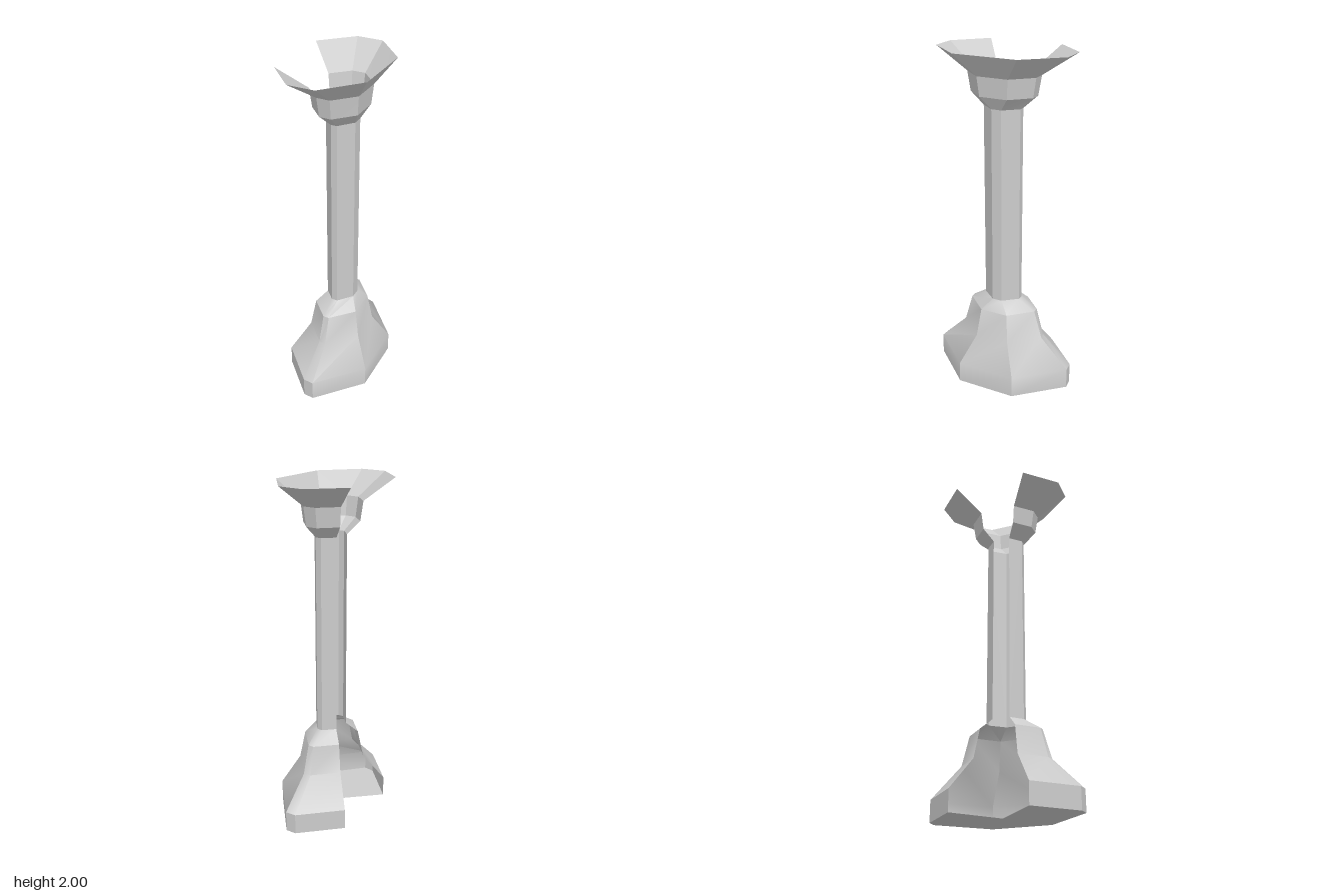
import * as THREE from 'three';
import { toCreasedNormals } from 'three/addons/utils/BufferGeometryUtils.js';

const material = new THREE.MeshStandardMaterial({ color: 0xcccccc, side: THREE.DoubleSide });

// Half of each open ring: from the cut edge round to the front corner.
// The other half mirrors it by swapping x and z.
const footHalf = [[-0.01, -0.32], [0.285, -0.32], [0.333, -0.28], [0.315, 0.065]];
const slopeHalf = [[-0.008, -0.185], [0.172, -0.185], [0.208, -0.16], [0.2, 0.055]];
const shoulderHalf = [[-0.006, -0.15], [0.148, -0.15], [0.173, -0.125], [0.167, 0.048]];
const shaftHalf = [[-0.003, -0.075], [0.083, -0.075], [0.107, -0.05], [0.097, 0.055]];
const neckHalf = [[-0.009, -0.147], [0.116, -0.147], [0.165, -0.1], [0.16, 0.045]];
const collarHalf = [[-0.01, -0.163], [0.125, -0.163], [0.18, -0.11], [0.174, 0.045]];
const rimHalf = [[-0.027, -0.335], [0.213, -0.335], [0.32, -0.225], [0.302, 0.04]];

const ring = (half) => [...half, ...half.map(([x, z]) => [z, x]).reverse()];

// Thin open shell skinned through rings given as [height, half ring]
function shell(name, levels, crease) {
  const positions = [];
  for (let l = 0; l < levels.length - 1; l++) {
    const [y0, y1] = [levels[l][0], levels[l + 1][0]];
    const [low, high] = [ring(levels[l][1]), ring(levels[l + 1][1])];
    for (let i = 0; i < low.length - 1; i++) {
      const a = [low[i][0], y0, low[i][1]];
      const b = [low[i + 1][0], y0, low[i + 1][1]];
      const c = [high[i + 1][0], y1, high[i + 1][1]];
      const d = [high[i][0], y1, high[i][1]];
      positions.push(...a, ...d, ...b, ...b, ...d, ...c);
    }
  }
  const geometry = new THREE.BufferGeometry();
  geometry.setAttribute('position', new THREE.Float32BufferAttribute(positions, 3));
  const mesh = new THREE.Mesh(toCreasedNormals(geometry, crease), material);
  mesh.name = name;
  return mesh;
}

export function createModel() {
  const group = new THREE.Group();
  group.name = 'brokenColumn';

  // Flared base, open at the missing corner
  group.add(shell('base', [
    [0, footHalf], [0.125, footHalf], [0.3, slopeHalf], [0.47, shoulderHalf], [0.535, shaftHalf],
  ], 0.6));

  // Flat underside, notched to the column axis
  const plan = new THREE.Shape([...ring(footHalf), [0.02, -0.003]].map(([x, z]) => new THREE.Vector2(x, z)));
  const underside = new THREE.Mesh(new THREE.ShapeGeometry(plan).rotateX(Math.PI / 2), material);
  underside.name = 'underside';
  group.add(underside);

  // Straight shaft
  group.add(shell('shaft', [[0.535, shaftHalf], [1.695, shaftHalf]], 0.2));

  // Capital: neck, collar and wide flared rim
  group.add(shell('capital', [
    [1.695, shaftHalf], [1.765, neckHalf], [1.875, collarHalf], [2, rimHalf],
  ], 0.2));

  return group;
}
